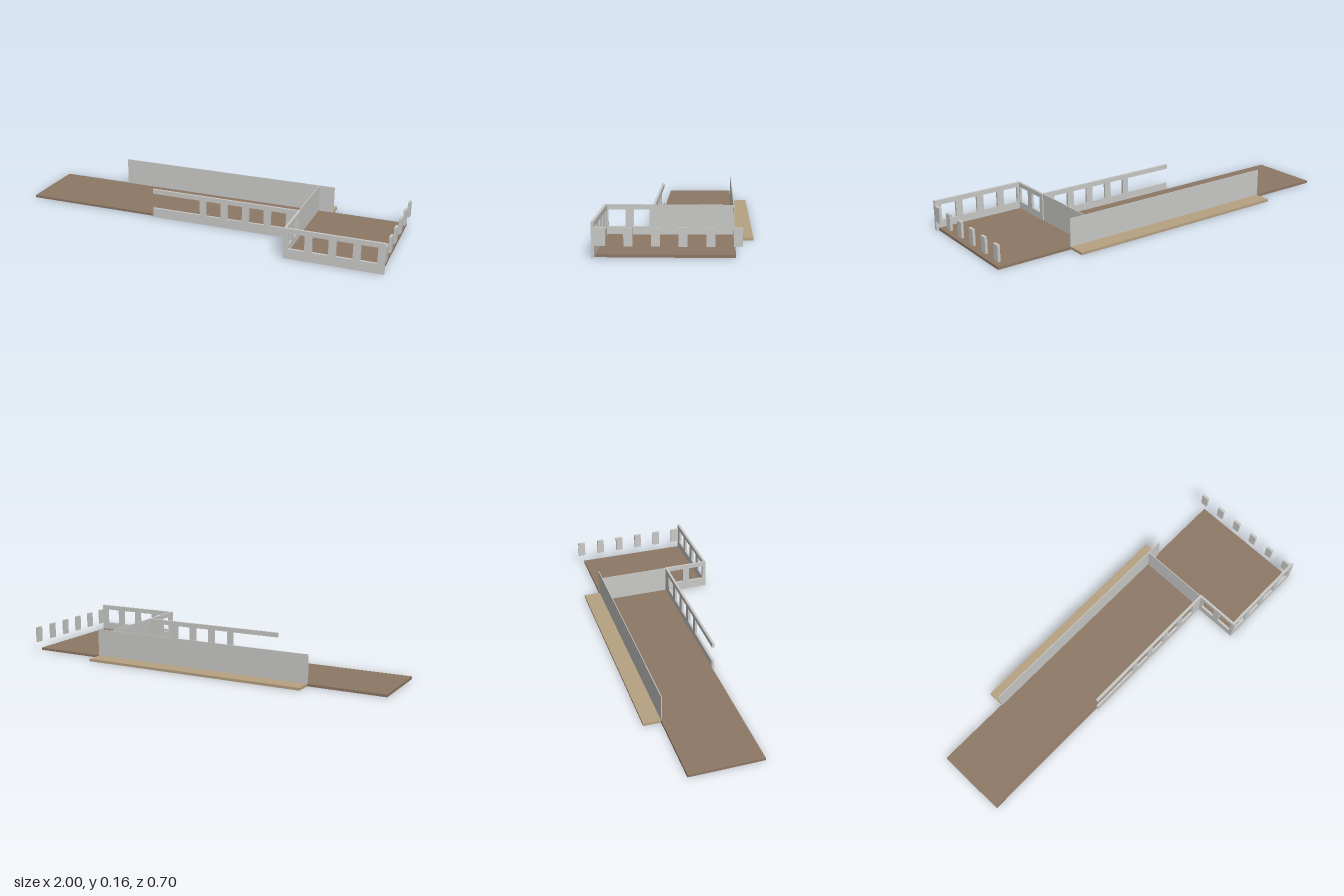
import * as THREE from 'three';

const H = 0.155, SLAB = 0.013, SILL = 0.05, HEAD = 0.131;

export function createModel() {
  const group = new THREE.Group();
  const mat = (name, color) => {
    const m = new THREE.MeshStandardMaterial({ color });
    m.name = name;
    return m;
  };
  const wallGrey = mat('wall grey', 0xc9c9c7);
  const floorBrown = mat('floor brown', 0x8e7866);
  const terraceTan = mat('terrace tan', 0xb7a282);

  // box given by its limits on each axis
  const block = (name, m, [x0, x1], [y0, y1], [z0, z1]) => {
    const mesh = new THREE.Mesh(new THREE.BoxGeometry(x1 - x0, y1 - y0, z1 - z0), m);
    mesh.position.set((x0 + x1) / 2, (y0 + y1) / 2, (z0 + z1) / 2);
    mesh.name = name;
    group.add(mesh);
    return mesh;
  };

  // upright wall in the xy plane with window holes; notch cuts an opening into its start
  const windowWall = (name, from, to, depth, windows, notch) => {
    const pts = [[from, 0], [to, 0], [to, H], [from, H]];
    if (notch !== undefined) pts.push([from, HEAD], [notch, HEAD], [notch, SILL], [from, SILL]);
    const shape = new THREE.Shape(pts.map(p => new THREE.Vector2(...p)));
    for (const [a, b] of windows) {
      shape.holes.push(new THREE.Path([[a, SILL], [a, HEAD], [b, HEAD], [b, SILL]]
        .map(p => new THREE.Vector2(...p))));
    }
    const mesh = new THREE.Mesh(
      new THREE.ExtrudeGeometry(shape, { depth, bevelEnabled: false }), wallGrey);
    mesh.name = name;
    group.add(mesh);
    return mesh;
  };
  const row = (start, n) => Array.from({ length: n }, (_, i) =>
    [start + i * 0.1163, start + i * 0.1163 + 0.08]);

  // floors and rear terrace
  block('mainFloor', floorBrown, [-1, 0.515], [0, SLAB], [-0.262, 0.108]);
  block('wingFloor', floorBrown, [0.515, 0.987], [0, SLAB], [-0.262, 0.335]);
  block('terrace', terraceTan, [-0.605, 0.597], [0, SLAB], [-0.35, -0.262]);

  // thin solid walls
  block('backWall', wallGrey, [-0.608, 0.6], [SLAB, H], [-0.262, -0.258]);
  block('partitionWall', wallGrey, [0.515, 0.519], [SLAB, H], [-0.258, 0.108]);

  // windowed walls
  windowWall('mainFrontWall', -0.275, 0.513, 0.012, row(0.024, 4), -0.01).position.z = 0.108;
  windowWall('wingFrontWall', 0.513, 1, 0.013, row(0.537, 4)).position.z = 0.337;
  const side = windowWall('wingSideWall', -0.337, -0.108, 0.012, [[-0.33, -0.25], [-0.213, -0.135]]);
  side.rotation.y = Math.PI / 2; // local x runs towards -z
  side.position.x = 0.513;

  // free piers between the openings of the wing's outer side
  block('cornerPier', wallGrey, [0.987, 1], [SILL, HEAD], [0.29, 0.337]);
  for (let i = 0; i < 5; i++) {
    const z = 0.194 - i * 0.1163;
    block('pier', wallGrey, [0.987, 1], [SILL, HEAD], [z - 0.019, z + 0.019]);
  }
  return group;
}
